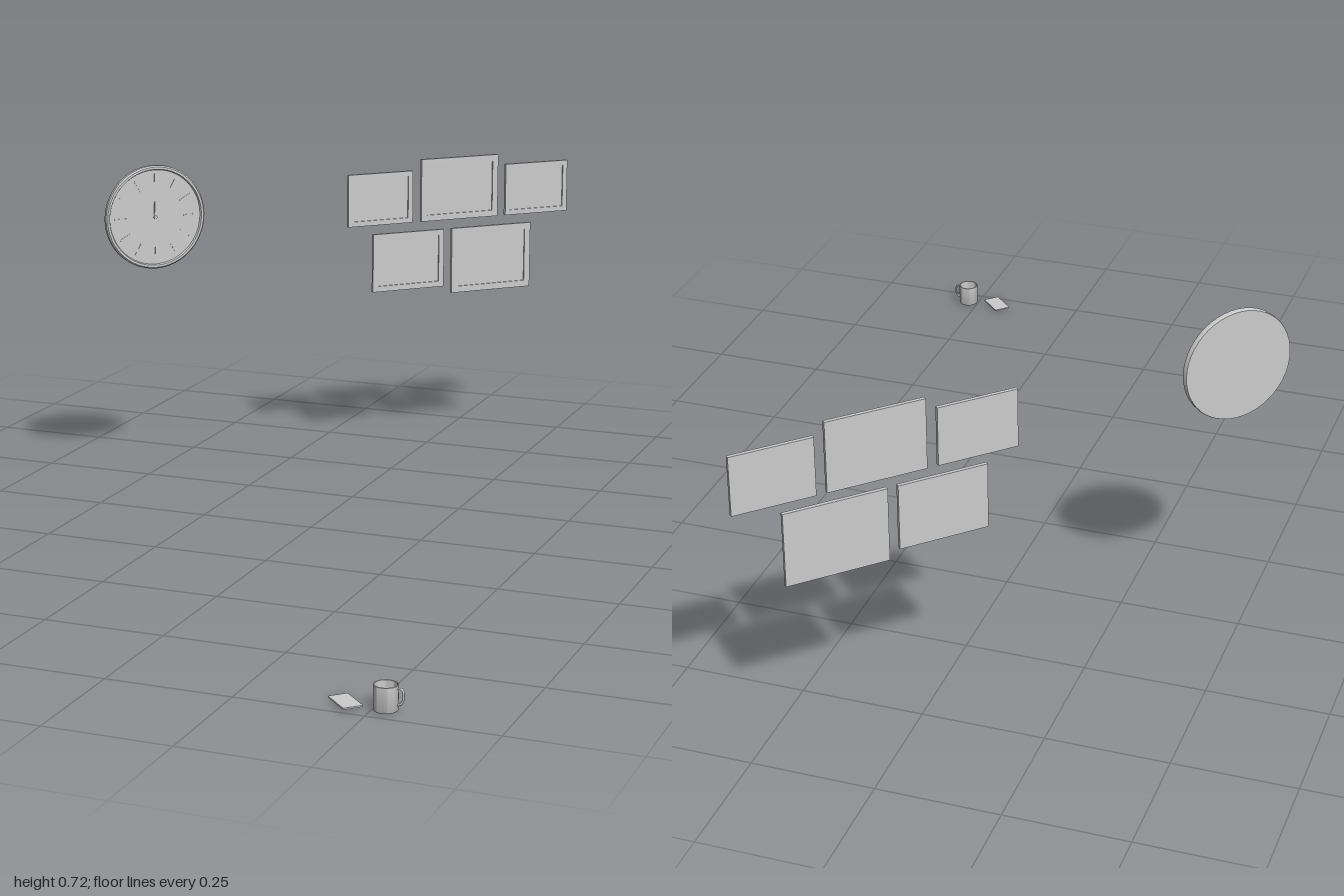
import * as THREE from 'three';
import { toCreasedNormals } from 'three/addons/utils/BufferGeometryUtils.js';

const grey = new THREE.MeshStandardMaterial({ color: 0xcccccc });

function part(name, geometry, x = 0, y = 0, z = 0) {
  const mesh = new THREE.Mesh(geometry, grey);
  mesh.name = name;
  mesh.position.set(x, y, z);
  return mesh;
}

const lathe = (points, sides) =>
  toCreasedNormals(new THREE.LatheGeometry(points.map(p => new THREE.Vector2(...p)), sides), 0.6);

function rect(path, w, h) {
  path.moveTo(-w / 2, -h / 2);
  path.lineTo(w / 2, -h / 2);
  path.lineTo(w / 2, h / 2);
  path.lineTo(-w / 2, h / 2);
  path.closePath();
  return path;
}

// Picture frame: mitred border with a recessed panel, back at z = 0
function pictureFrame(w, h) {
  const group = new THREE.Group();
  group.name = 'pictureFrame';
  const border = 0.072 * w, depth = 0.008;
  const shape = rect(new THREE.Shape(), w, h);
  shape.holes.push(rect(new THREE.Path(), w - 2 * border, h - 2 * border));
  group.add(part('frameBorder', new THREE.ExtrudeGeometry(shape, { depth, bevelEnabled: false })));
  group.add(part('picturePanel',
    new THREE.BoxGeometry(w - 2 * border, h - 2 * border, depth * 0.6), 0, 0, depth * 0.3));
  return group;
}

// Wall clock: turned case with raised rim, hour marks and two hands
function wallClock() {
  const group = new THREE.Group();
  group.name = 'wallClock';
  const R = 0.117, face = 0.010;
  const body = lathe([[0, 0], [R - 0.001, 0], [R, 0.002], [R, 0.012], [R - 0.003, 0.015],
    [R - 0.008, 0.015], [R - 0.010, face], [0, face]], 48);
  body.rotateX(Math.PI / 2);
  group.add(part('clockCase', body));
  for (let i = 0; i < 12; i++) {
    const mark = new THREE.BoxGeometry(0.0025, 0.028, 0.001);
    mark.translate(0, 0.082, 0);
    mark.rotateZ(i * Math.PI / 6);
    group.add(part('hourMark', mark, 0, 0, face + 0.0005));
  }
  group.add(part('hourHand', new THREE.BoxGeometry(0.005, 0.075, 0.001), 0, 0.024, face + 0.001));
  group.add(part('minuteHand', new THREE.BoxGeometry(0.0032, 0.11, 0.001), 0, 0.044, face + 0.002));
  const pin = new THREE.CylinderGeometry(0.004, 0.004, 0.004, 16);
  pin.rotateX(Math.PI / 2);
  group.add(part('handPin', pin, 0, 0, face + 0.002));
  return group;
}

// Mug: hollow turned cup with a looped handle towards +x
function mug() {
  const group = new THREE.Group();
  group.name = 'mug';
  const r = 0.0225, h = 0.049;
  group.add(part('mugCup', lathe([[0, 0], [r - 0.003, 0], [r - 0.001, 0.001], [r, 0.003],
    [r, h - 0.001], [r - 0.001, h], [r - 0.002, h - 0.001], [r - 0.002, 0.005],
    [r - 0.004, 0.003], [0, 0.003]], 32)));
  const path = new THREE.CatmullRomCurve3([[0.021, 0.042], [0.029, 0.042], [0.0325, 0.036],
    [0.0325, 0.024], [0.029, 0.016], [0.021, 0.011]].map(([x, y]) => new THREE.Vector3(x, y, 0)));
  group.add(part('mugHandle', new THREE.TubeGeometry(path, 24, 0.0021, 8)));
  return group;
}

export function createModel() {
  const model = new THREE.Group();

  // Hanging pieces share one plane turned 45 degrees
  const wall = new THREE.Group();
  wall.name = 'wallPieces';
  wall.position.set(-0.3712, 0, -0.3712);
  wall.rotation.y = Math.PI / 4;
  model.add(wall);

  // Each frame: centre along the wall, bottom, width, height
  for (const [u, y, w, h] of [
    [0.3995, 0.541, 0.1645, 0.122],
    [0.604, 0.541, 0.2, 0.147],
    [0.807, 0.541, 0.1645, 0.122],
    [0.4724, 0.382, 0.183, 0.137],
    [0.6887, 0.364, 0.208, 0.155],
  ]) {
    const frame = pictureFrame(w, h);
    frame.position.set(u, y + h / 2, 0);
    wall.add(frame);
  }

  const clock = wallClock();
  clock.position.set(-0.158, 0.6, 0);
  wall.add(clock);

  // Small things lying at table height
  const cup = mug();
  cup.position.set(0.524, 0, 0.959);
  model.add(cup);

  const slab = part('flatSlab', new THREE.BoxGeometry(0.066, 0.003, 0.038), 0.449, 0.006, 0.96);
  slab.rotation.y = -Math.PI / 4;
  model.add(slab);

  return model;
}
